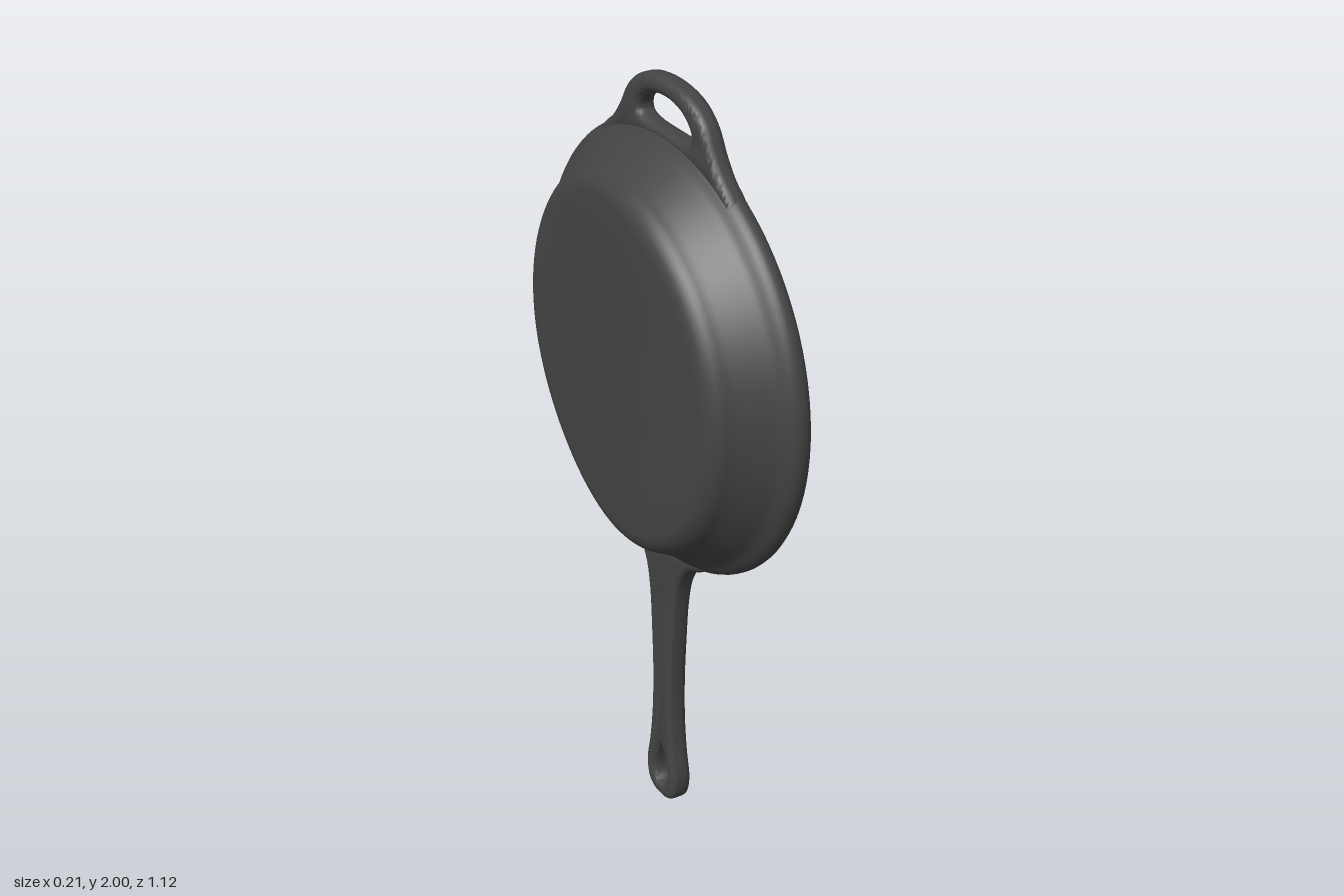
import * as THREE from 'three';
import { mergeVertices, toCreasedNormals } from 'three/addons/utils/BufferGeometryUtils.js';

const CENTER_Y = 1.315; // height of the pan's axis
const material = new THREE.MeshStandardMaterial({ color: 0x444444 });

const curve = (pts, closed = false) =>
  new THREE.CatmullRomCurve3(pts.map(([x, y]) => new THREE.Vector3(x, y, 0)), closed, 'centripetal');

// half outline ending on the centre line -> full symmetric outline
const mirror = (half) => [...half, ...half.slice(0, -1).reverse().map(([x, y]) => [-x, y])];

function named(name, geometry) {
  const mesh = new THREE.Mesh(geometry, material);
  mesh.name = name;
  return mesh;
}

// Bowl: lathed wall section with a level cooking floor; the underside rises towards -z
function bowlGeometry() {
  const steps = 140;
  const profile = curve([
    [0, -0.107], [0.2, -0.107], [0.38, -0.106], [0.435, -0.1], [0.462, -0.078],
    [0.475, -0.05], [0.505, 0.0], [0.528, 0.035], [0.545, 0.05], [0.557, 0.065],
    [0.56, 0.085], [0.553, 0.1], [0.54, 0.105], [0.525, 0.099], [0.51, 0.08],
    [0.493, 0.05], [0.475, 0.02], [0.455, 0.002], [0.42, -0.006], [0.2, -0.007], [0, -0.007],
  ]).getSpacedPoints(steps);
  profile[0].x = profile[steps].x = 0;
  let g = new THREE.LatheGeometry(profile, 96);
  g.rotateZ(-Math.PI / 2);
  const p = g.attributes.position;
  for (let i = 0; i < p.count; i++) {
    if (i % (steps + 1) > steps / 2) continue; // outer half of the section only
    const x = p.getX(i);
    const depth = Math.max(0, (0.05 - x) / 0.157);
    const lift = 0.048 * (1 - THREE.MathUtils.smoothstep(p.getZ(i), -0.43, 0.24));
    p.setX(i, x + lift * depth);
  }
  g.deleteAttribute('uv');
  g.deleteAttribute('normal');
  g = mergeVertices(g, 1e-5);
  g.computeVertexNormals();
  return g.translate(0, CENTER_Y, 0);
}

// Flat bar with rounded edges and one hole, its root buried in the rim
function flangeGeometry(half, holeHalf, bevel) {
  const outline = curve(mirror(half)).getPoints(90);
  const [sx, sy] = half[0];
  const a1 = Math.atan2(sx, sy - CENTER_Y);
  // root arc runs along the short side of the rim
  const span = sy < CENTER_Y ? 2 * a1 - 2 * Math.PI : 2 * a1;
  for (let i = 0; i <= 24; i++) {
    const a = -a1 + (span * i) / 24;
    outline.push(new THREE.Vector3(0.53 * Math.sin(a), CENTER_Y + 0.53 * Math.cos(a), 0));
  }
  const flat = (pts) => pts.map((v) => new THREE.Vector2(v.x, v.y));
  const shape = new THREE.Shape(flat(outline));
  const ring = mirror(holeHalf).slice(0, -1);
  shape.holes.push(new THREE.Path(flat(curve(ring, true).getPoints(48).slice(0, -1))));
  const g = new THREE.ExtrudeGeometry(shape, {
    depth: 0.055 - 2 * bevel, bevelThickness: bevel, bevelSize: bevel, bevelOffset: -bevel, bevelSegments: 5,
  });
  g.rotateY(Math.PI / 2).translate(0.05 + bevel, 0, 0);
  return toCreasedNormals(g, 0.7);
}

export function createModel() {
  const group = new THREE.Group();
  group.name = 'fryingPan';
  group.add(named('bowl', bowlGeometry()));

  // Long handle with a teardrop hanging hole
  group.add(named('handle', flangeGeometry(
    [[0.19, 0.795], [0.165, 0.778], [0.12, 0.755], [0.08, 0.7], [0.06, 0.62], [0.05, 0.5], [0.044, 0.38],
      [0.046, 0.26], [0.057, 0.16], [0.071, 0.08], [0.06, 0.028], [0.032, 0.004], [0, 0]],
    [[0, 0.038], [0.022, 0.052], [0.03, 0.085], [0.018, 0.13], [0, 0.16]], 0.016,
  )));

  // Short helper grip opposite the handle
  group.add(named('helperGrip', flangeGeometry(
    [[0.29, 1.785], [0.27, 1.808], [0.235, 1.837], [0.2, 1.882], [0.168, 1.935], [0.125, 1.972],
      [0.07, 1.993], [0, 2]],
    [[0, 1.875], [0.08, 1.878], [0.11, 1.888], [0.11, 1.908], [0.08, 1.937], [0.04, 1.951], [0, 1.955]], 0.02,
  )));
  return group;
}
